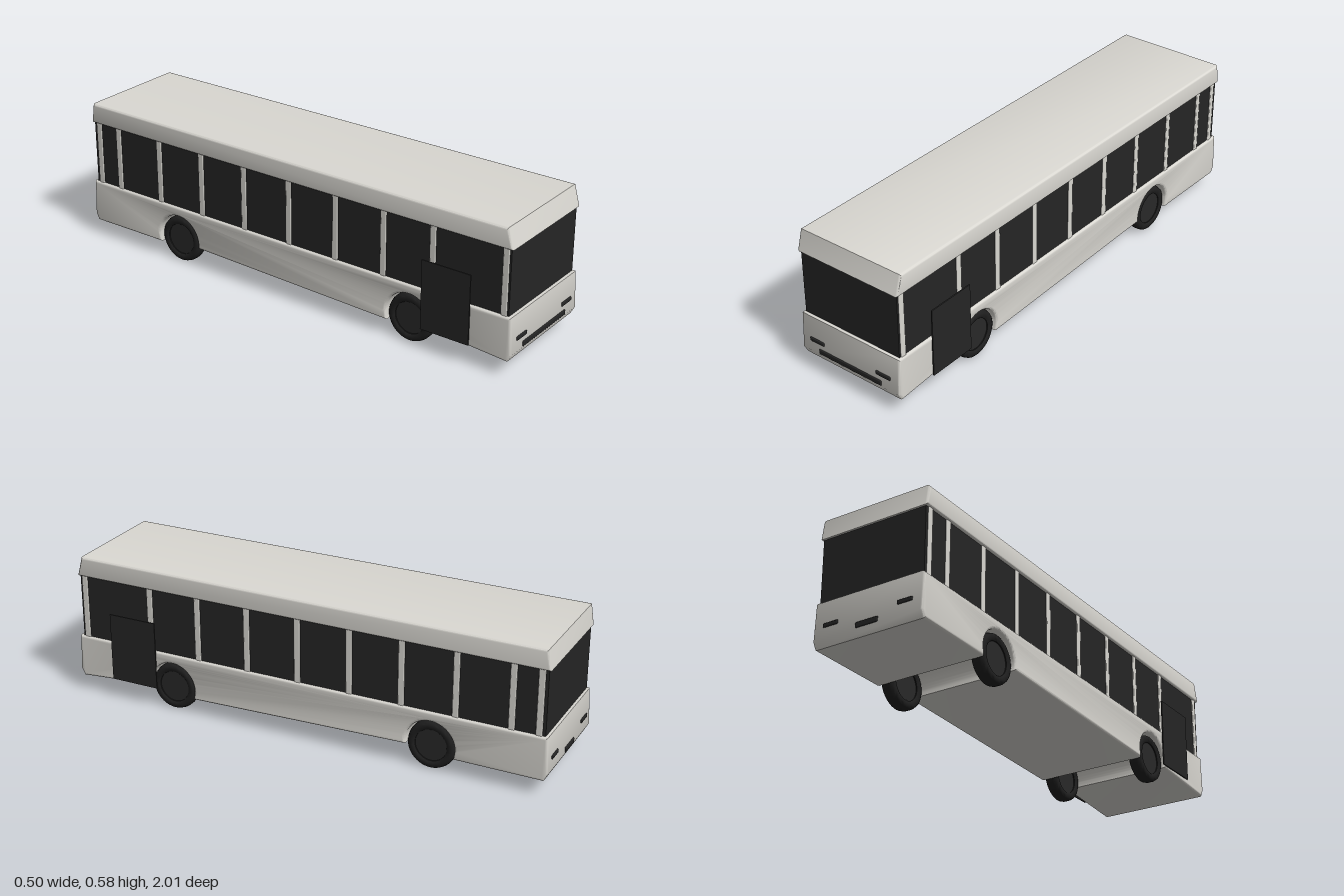
import * as THREE from 'three';
import { toCreasedNormals } from 'three/addons/utils/BufferGeometryUtils.js';
import { RoundedBoxGeometry } from 'three/addons/geometries/RoundedBoxGeometry.js';

const material = (name, color) => {
  const m = new THREE.MeshStandardMaterial({ color });
  m.name = name;
  return m;
};

export function createModel() {
  const bus = new THREE.Group();
  bus.name = 'bus';
  const paint = material('bodyPaint', 0xdad8d2);
  const glass = material('darkGlass', 0x252525);
  const rubber = material('tyreRubber', 0x1f1f1f);
  const hubGrey = material('hubGrey', 0x292929);

  const add = (name, geometry, mat, x = 0, y = 0, z = 0, parent = bus) => {
    const mesh = new THREE.Mesh(geometry, mat);
    mesh.name = name;
    mesh.position.set(x, y, z);
    parent.add(mesh);
    return mesh;
  };

  // Extrudes a side profile drawn as (z, y) across the width, with rounded sides
  const acrossWidth = (shape, width, bevel) => {
    const g = new THREE.ExtrudeGeometry(shape, {
      depth: width - 2 * bevel, curveSegments: 28, bevelThickness: bevel,
      bevelSize: bevel, bevelOffset: -bevel, bevelSegments: 3,
    });
    g.translate(0, 0, -width / 2 + bevel);
    g.rotateY(-Math.PI / 2);
    return toCreasedNormals(g, 0.6);
  };

  // Lower body with wheel arches cut through the full width
  const axles = [0.565, -0.54];
  const archRadius = 0.1, axleY = 0.1;
  const skirt = new THREE.Shape();
  skirt.moveTo(0.993, 0.238);
  skirt.lineTo(-0.993, 0.238);
  skirt.lineTo(-1, 0.09);
  skirt.lineTo(-0.985, 0.062);
  for (const z of [...axles].reverse()) {
    skirt.lineTo(z - archRadius + 0.005, 0.064);
    skirt.absarc(z, axleY, archRadius, Math.PI, 0, true);
    skirt.lineTo(z + archRadius - 0.001, 0.086);
  }
  skirt.lineTo(0.985, 0.062);
  skirt.lineTo(1, 0.09);
  add('lowerBody', acrossWidth(skirt, 0.47, 0.01), paint);

  // Roof band, sloping at both ends
  const roof = new THREE.Shape();
  roof.moveTo(0.988, 0.497);
  roof.lineTo(0.966, 0.579);
  roof.lineTo(-0.978, 0.579);
  roof.lineTo(-0.99, 0.497);
  add('roof', acrossWidth(roof, 0.47, 0.01), paint);

  // Window band
  add('windows', new THREE.BoxGeometry(0.448, 0.28, 1.962), glass, 0, 0.368, -0.001);

  // Window pillars
  const pillars = [0.96, 0.66, 0.446, 0.229, 0.012, -0.205, -0.418, -0.635, -0.852, -0.957];
  const pillarGeometry = new RoundedBoxGeometry(0.016, 0.28, 0.025, 2, 0.004);
  for (const side of [-1, 1]) {
    for (const z of pillars) add('pillar', pillarGeometry, paint, side * 0.22, 0.368, z);
  }

  // Doors standing just off the body
  for (const side of [-1, 1]) {
    add('door', new THREE.BoxGeometry(0.005, 0.28, 0.205), glass, side * 0.247, 0.225, 0.732);
  }

  // Lamps, grille and rear plate
  const trim = (name, w, h, x, y, z) =>
    add(name, new RoundedBoxGeometry(w, h, 0.009, 2, 0.004), glass, x, y, z);
  for (const side of [-1, 1]) {
    trim('headlight', 0.068, 0.016, side * 0.159, 0.142, 0.998);
    trim('tailLight', 0.064, 0.016, side * 0.159, 0.142, -0.998);
  }
  trim('grille', 0.3, 0.021, 0, 0.104, 0.999);
  trim('rearPlate', 0.095, 0.022, 0, 0.104, -0.999);

  // Wheels with rounded tyres and recessed hubs
  const tyreProfile = [
    [0.064, -0.022], [0.07, -0.027], [0.085, -0.027], [0.092, -0.022], [0.096, -0.01],
    [0.096, 0.01], [0.092, 0.022], [0.085, 0.027], [0.07, 0.027], [0.064, 0.022], [0.064, -0.022],
  ].map(([r, h]) => new THREE.Vector2(r, h));
  const tyre = toCreasedNormals(new THREE.LatheGeometry(tyreProfile, 40).rotateZ(-Math.PI / 2), 0.8);
  const hub = new THREE.CylinderGeometry(0.065, 0.065, 0.036, 40).rotateZ(Math.PI / 2);
  for (const z of axles) {
    for (const side of [-1, 1]) {
      const wheel = new THREE.Group();
      wheel.name = 'wheel';
      wheel.position.set(side * 0.197, 0.096, z);
      bus.add(wheel);
      add('tyre', tyre, rubber, 0, 0, 0, wheel);
      add('hub', hub, hubGrey, 0, 0, 0, wheel);
    }
  }
  return bus;
}
